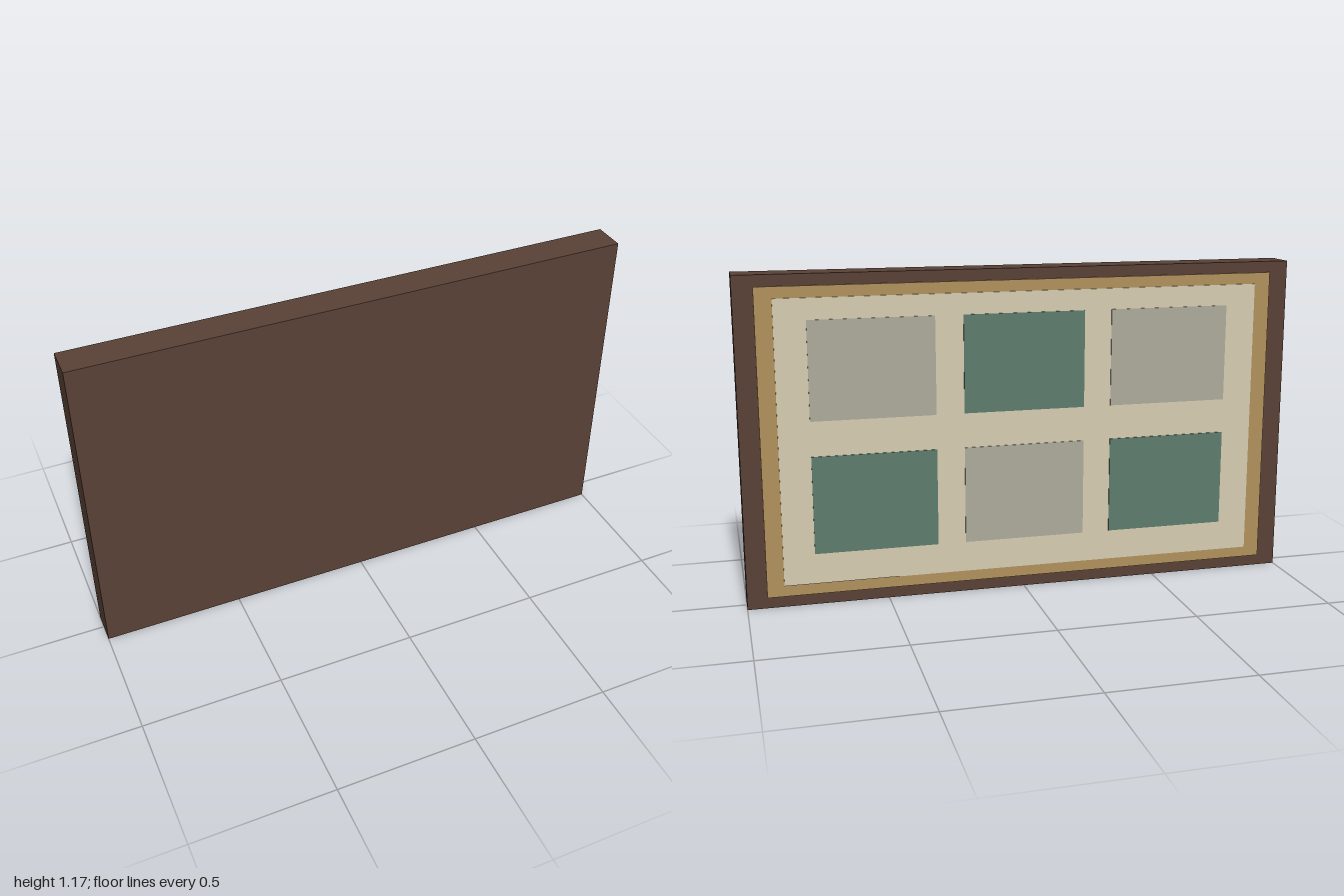
import * as THREE from 'three';

const HEIGHT = 1.17;
const BACK = -0.052; // rear face of the wooden board

const material = (color) => new THREE.MeshStandardMaterial({ color, roughness: 0.8 });

// Box given by its centre in x and y, and its extent in z
function slab(name, mat, width, height, x, y, zMin, zMax) {
  const mesh = new THREE.Mesh(new THREE.BoxGeometry(width, height, zMax - zMin), mat);
  mesh.name = name;
  mesh.position.set(x, y, (zMin + zMax) / 2);
  return mesh;
}

export function createModel() {
  const group = new THREE.Group();
  group.name = 'framedPanel';

  const wood = material(0x5a4136);
  const gold = material(0xb0925c);
  const cream = material(0xd6cdb0);
  const green = material(0x5f7c6e);
  const grey = material(0xaeaa9c);
  const midY = HEIGHT / 2;

  // Stepped layers: board, gilt border, mount
  group.add(slab('frame', wood, 2, HEIGHT, 0, midY, BACK, 0.066));
  group.add(slab('giltBorder', gold, 1.86, 1.09, 0, midY, -0.058, BACK));
  group.add(slab('mount', cream, 1.74, 1.01, 0, midY, -0.063, -0.058));

  // Two rows of three tiles in alternating colours
  const tiles = new THREE.Group();
  tiles.name = 'tiles';
  for (let row = 0; row < 2; row++) {
    for (let col = 0; col < 3; col++) {
      const mat = (row + col) % 2 ? green : grey;
      const x = (1 - col) * 0.54;
      const y = midY + (row ? -0.22 : 0.255);
      tiles.add(slab(`tile${row * 3 + col + 1}`, mat, 0.44, 0.35, x, y, -0.066, -0.063));
    }
  }
  group.add(tiles);

  return group;
}
